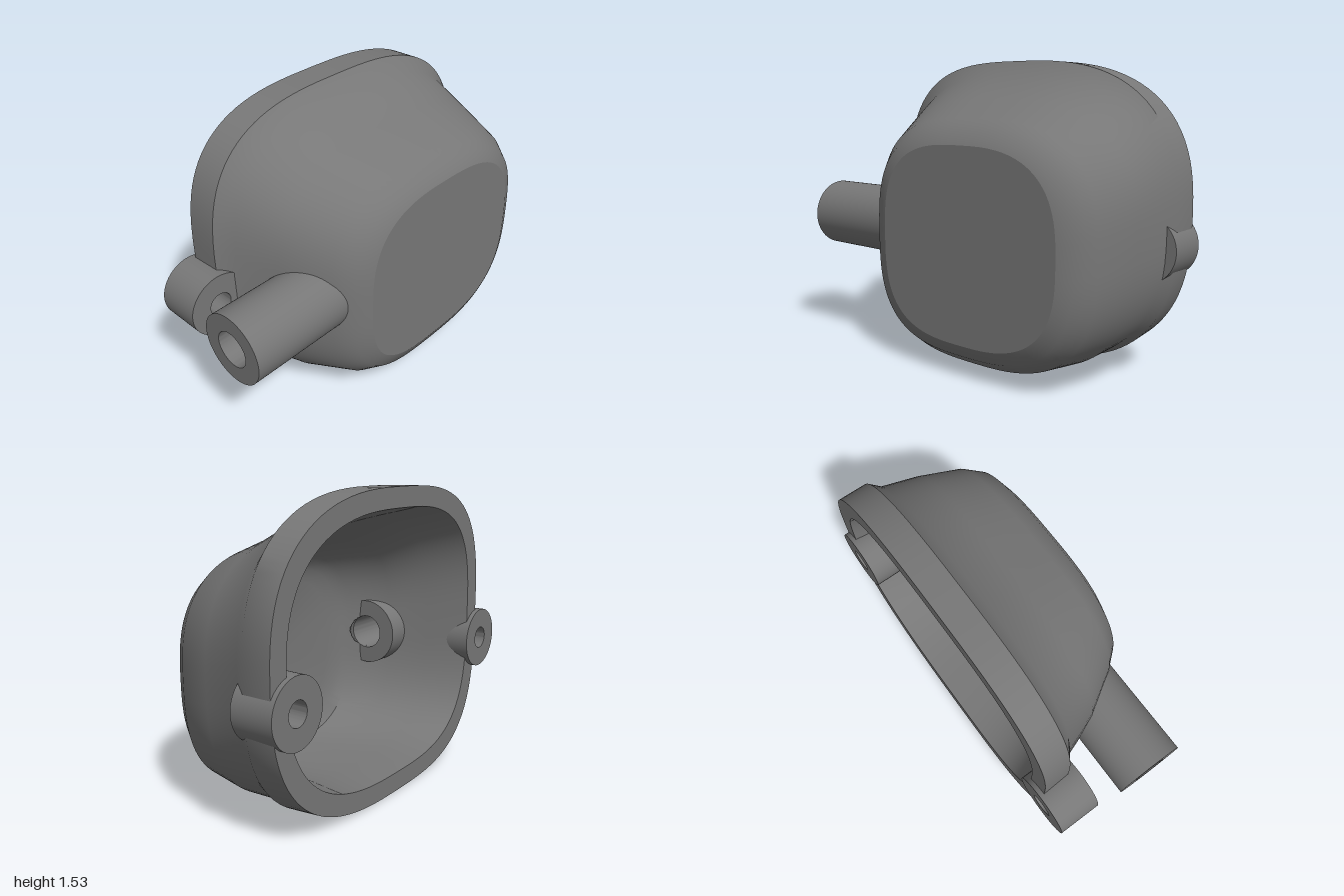
import * as THREE from 'three';
import { toCreasedNormals } from 'three/addons/utils/BufferGeometryUtils.js';

const SEG = 96;
const CREASE = 0.7;
const lerp = THREE.MathUtils.lerp;

// Rounded, lopsided cross-section at x, spanning y0..y1 and z0..z1
function section([x, y0, y1, z0, z1], inset = 0, shift = 0) {
  const k = (x + 0.365) / 0.75;
  const zc = lerp(-0.03, -0.17, k), yc = lerp(0.79, 0.65, k);
  const nFront = lerp(3.15, 2.95, k), nBack = lerp(2.65, 2.8, k);
  const ring = [];
  for (let j = 0; j <= SEG; j++) {
    const a = (j % SEG) / SEG * Math.PI * 2;
    const c = Math.cos(a), s = Math.sin(a);
    const e = 2 / (c > 0 ? nFront : nBack);
    const rz = (c > 0 ? z1 - zc : zc - z0) - inset;
    const ry = (s > 0 ? y1 - yc : yc - y0) - inset;
    ring.push(new THREE.Vector3(
      x + shift,
      yc + Math.sign(s) * Math.pow(Math.abs(s), e) * ry,
      zc + Math.sign(c) * Math.pow(Math.abs(c), e) * rz
    ));
  }
  return ring;
}

const point = (x, y, z) => Array.from({ length: SEG + 1 }, () => new THREE.Vector3(x, y, z));

// Through holes that the tubes make in the shell
const PORT = new THREE.Vector3(0.145, 0.68, 0.44);
const BORE = 0.092;
const BOSS_Y = 0.648, BOSS_Z = [0.818, -0.836];
const portDistance = p => p.z > 0.25 ? Math.hypot(p.x - PORT.x, p.y - PORT.y) : Infinity;
function inHole(p) {
  if (portDistance(p) < (p.z > PORT.z + 0.02 ? 0.125 : BORE)) return true;
  return p.x < -0.18 && BOSS_Z.some(z => Math.hypot(p.z - z, p.y - BOSS_Y) < 0.105);
}

// Skin a run of rings with smooth normals
function loft(rings) {
  const pos = [];
  const tri = (a, b, c) => {
    if (Math.min(a.distanceTo(b), b.distanceTo(c), c.distanceTo(a)) < 1e-6) return;
    for (const p of [a, b, c]) pos.push(p.x, p.y, p.z);
  };
  for (let i = 0; i < rings.length - 1; i++) {
    for (let j = 0; j < SEG; j++) {
      const a = rings[i][j], b = rings[i + 1][j], c = rings[i + 1][j + 1], d = rings[i][j + 1];
      tri(a, b, d);
      tri(b, c, d);
    }
  }
  const g = new THREE.BufferGeometry();
  g.setAttribute('position', new THREE.Float32BufferAttribute(pos, 3));
  return toCreasedNormals(g, CREASE);
}

// Split long triangles, finest by the port, and leave out those in the holes
function pierce(source) {
  const pos = [], nor = [];
  const middle = (u, v) => ({ p: u.p.clone().lerp(v.p, 0.5), n: u.n.clone().lerp(v.n, 0.5).normalize() });
  const split = (a, b, c) => {
    const ab = a.p.distanceTo(b.p), bc = b.p.distanceTo(c.p), ca = c.p.distanceTo(a.p);
    const longest = Math.max(ab, bc, ca);
    const centre = a.p.clone().add(b.p).add(c.p).divideScalar(3);
    if (longest > (portDistance(centre) < 0.17 ? 0.01 : 0.06)) {
      if (bc === longest) return split(b, c, a);
      if (ca === longest) return split(c, a, b);
      const m = middle(a, b);
      split(a, m, c);
      return split(m, b, c);
    }
    if (inHole(centre)) return;
    for (const v of [a, b, c]) {
      pos.push(...v.p.toArray());
      nor.push(...v.n.toArray());
    }
  };
  const { position, normal } = source.attributes;
  const corner = i => ({
    p: new THREE.Vector3().fromBufferAttribute(position, i),
    n: new THREE.Vector3().fromBufferAttribute(normal, i)
  });
  for (let i = 0; i < position.count; i += 3) split(corner(i), corner(i + 1), corner(i + 2));
  const g = new THREE.BufferGeometry();
  g.setAttribute('position', new THREE.Float32BufferAttribute(pos, 3));
  g.setAttribute('normal', new THREE.Float32BufferAttribute(nor, 3));
  return g;
}

// Hollow cylinder along +z
function tube(radius, bore, length) {
  const shape = new THREE.Shape().absarc(0, 0, radius, 0, Math.PI * 2, false);
  shape.holes.push(new THREE.Path().absarc(0, 0, bore, 0, Math.PI * 2, true));
  const g = new THREE.ExtrudeGeometry(shape, { depth: length, bevelEnabled: false, curveSegments: 40 });
  return toCreasedNormals(g, CREASE);
}

export function createModel() {
  const group = new THREE.Group();
  const grey = new THREE.MeshStandardMaterial({ color: 0x777777, side: THREE.DoubleSide });
  grey.name = 'dark grey';
  const add = (name, geometry) => {
    const mesh = new THREE.Mesh(geometry, grey);
    mesh.name = name;
    group.add(mesh);
    return mesh;
  };

  // x, y bottom, y top, z back, z front
  const profile = [
    [-0.365, 0, 1.535, -0.977, 0.795],
    [-0.215, 0, 1.535, -0.977, 0.788],
    [-0.155, 0.018, 1.46, -0.945, 0.71],
    [0.05, 0.018, 1.34, -0.925, 0.635],
    [0.265, 0.045, 1.25, -0.86, 0.505],
    [0.355, 0.105, 1.19, -0.795, 0.43],
    [0.387, 0.17, 1.13, -0.725, 0.35]
  ];
  const outer = profile.map(p => section(p));

  // Inside wall follows the outside, without the lip behind the rim
  const shifts = [0, 0, 0, -0.02, -0.075, -0.09];
  const inner = profile.filter((p, i) => i !== 1).map((p, i) => section(p, 0.1, shifts[i]));

  // Hollow cup: inside floor and wall, rim, outside wall
  add('shell', pierce(loft([point(0.297, 0.65, -0.18), ...inner.reverse(), ...outer])));
  add('endFace', loft([outer[outer.length - 1], point(0.387, 0.65, -0.18)]));

  // Round port through the front wall
  add('portTube', tube(0.18, BORE, 1 - PORT.z)).position.copy(PORT);

  // Mounting bosses on the rim
  BOSS_Z.forEach((z, i) => {
    const g = tube(0.165, 0.06, 0.225).rotateY(Math.PI / 2);
    add(i ? 'backMountingBoss' : 'frontMountingBoss', g).position.set(-0.39, BOSS_Y, z);
  });
  return group;
}
